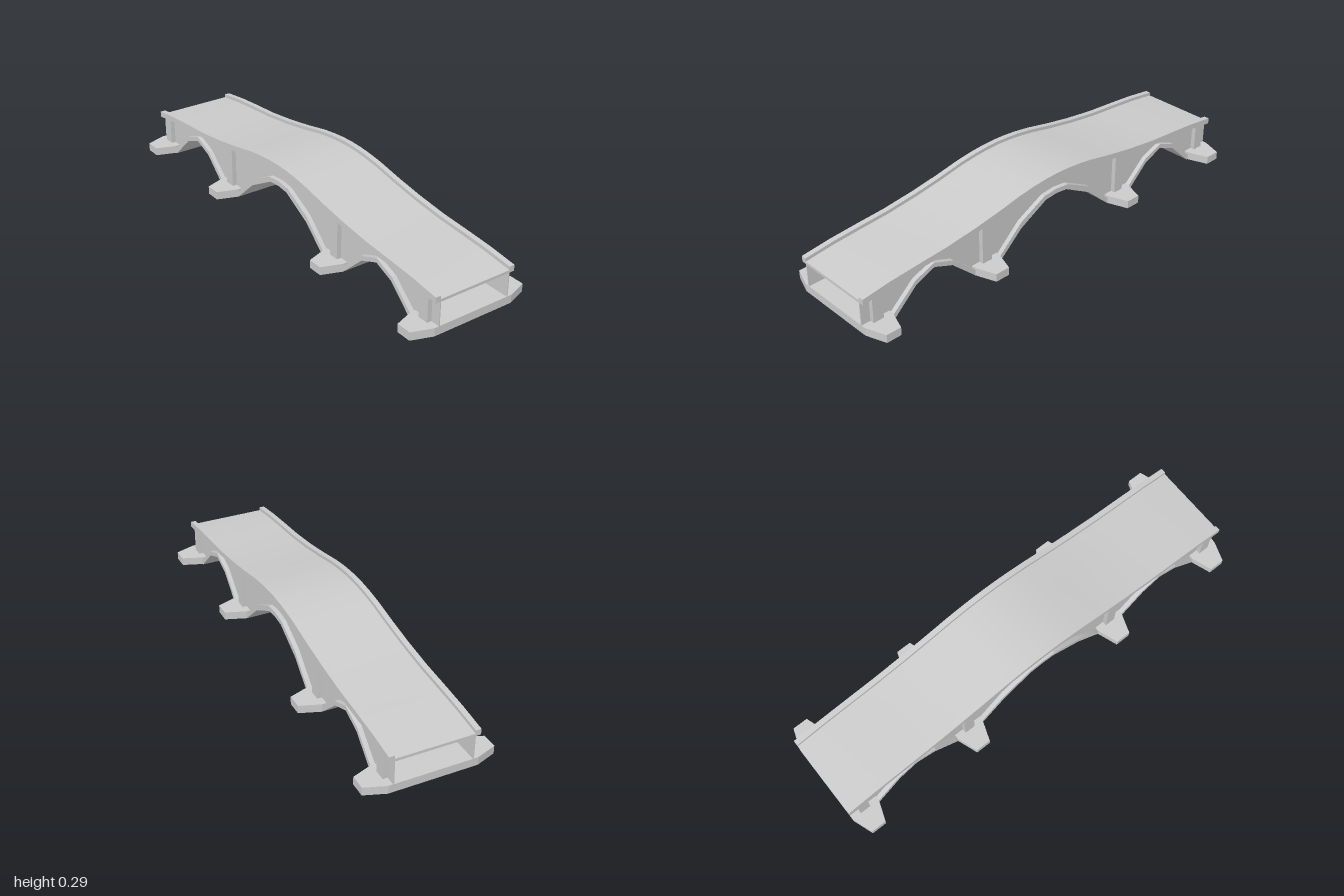
import * as THREE from 'three';
import { toCreasedNormals } from 'three/addons/utils/BufferGeometryUtils.js';

const material = new THREE.MeshStandardMaterial({ color: 0xcccccc, side: THREE.DoubleSide });
const HALF = 0.19; // half width of the bridge
const INNER = 0.17; // inner face of parapets and outer face of the side walls
const FOOT = 0.036; // footing height

// Mirror a half profile of [z, y], listed outwards from z = 0
const mirror = (half) => [...half.slice(1).reverse().map(([z, y]) => [-z, y]), ...half];
const shift = (pts, dz, dy = 0) => pts.map(([z, y]) => [z + dz, y + dy]);

// Parapet top line and arch lines, all running from -z to +z
const topLine = mirror([[0, 0.288], [0.06, 0.286], [0.12, 0.281], [0.2, 0.27], [0.32, 0.246],
  [0.45, 0.224], [0.6, 0.205], [0.75, 0.194], [0.87, 0.184], [1, 0.167]]);
const mainIn = mirror([[0, 0.19], [0.06, 0.184], [0.2, 0.108], [0.32, 0]]);
const mainOut = mirror([[0, 0.212], [0.068, 0.205], [0.2, 0.137], [0.33, 0.016], [0.34, 0]]);
const sideIn = mirror([[0, 0.143], [0.09, 0.107], [0.205, 0]]);
const sideOut = mirror([[0, 0.163], [0.095, 0.126], [0.215, 0.018], [0.225, 0]]);
const SIDE = 0.658; // z of the side arch centres

// Extrude a [z, y] outline across x from x0 to x1
function across(name, pts, x0, x1, crease = 0.45) {
  const shape = new THREE.Shape(pts.map(([z, y]) => new THREE.Vector2(z, y)));
  let geo = new THREE.ExtrudeGeometry(shape, { depth: x1 - x0, bevelEnabled: false });
  geo.rotateY(-Math.PI / 2).translate(x1, 0, 0);
  geo = toCreasedNormals(geo, crease);
  const mesh = new THREE.Mesh(geo, material);
  mesh.name = name;
  return mesh;
}

// Closed band between two lines
const band = (upper, lower) => [...lower, ...[...upper].reverse()];

// Height of the parapet top at z
function topAt(z) {
  const i = Math.max(1, topLine.findIndex(([pz]) => pz >= z));
  const [a, b] = [topLine[i - 1], topLine[i]];
  return a[1] + (b[1] - a[1]) * (z - a[0]) / (b[0] - a[0]);
}

// Long footing with tapered cutwaters at both ends
function footing(z) {
  const plan = [[-0.28, -0.034], [-HALF, -0.066], [HALF, -0.066], [0.28, -0.034],
    [0.28, 0.034], [HALF, 0.066], [-HALF, 0.066], [-0.28, 0.034]];
  const shape = new THREE.Shape(plan.map(([x, y]) => new THREE.Vector2(x, y)));
  const geo = new THREE.ExtrudeGeometry(shape, { depth: FOOT, bevelEnabled: false });
  geo.rotateX(-Math.PI / 2);
  const mesh = new THREE.Mesh(geo, material);
  mesh.name = 'footing';
  mesh.position.z = z;
  return mesh;
}

export function createModel() {
  const bridge = new THREE.Group();
  bridge.name = 'archBridge';

  // Road deck, a thin slab following the hump
  bridge.add(across('deck', band(shift(topLine, 0, -0.015), shift(topLine, 0, -0.027)), -INNER, INNER));

  // Arch barrels
  bridge.add(across('mainArch', band(mainOut, mainIn), -HALF, HALF, 0.3));
  for (const s of [-1, 1]) {
    bridge.add(across('sideArch', band(shift(sideOut, s * SIDE), shift(sideIn, s * SIDE)), -HALF, HALF, 0.3));
  }

  // Underside of the side walls: over the arches and down to the footings
  const wallBase = [[-1, 0.02], ...shift(sideOut.slice(1, -1), -SIDE), ...mainOut.slice(1, -1),
    ...shift(sideOut.slice(1, -1), SIDE), [1, 0.02]];
  const wall = band(shift(topLine, 0, -0.02), wallBase);
  const parapet = band(topLine, shift(topLine, 0, -0.026));

  for (const s of [-1, 1]) {
    const side = new THREE.Group();
    side.name = s > 0 ? 'leftSide' : 'rightSide';
    const span = (a, b) => (s > 0 ? [a, b] : [-b, -a]);
    side.add(across('spandrelWall', wall, ...span(INNER - 0.004, INNER)));
    side.add(across('parapet', parapet, ...span(INNER - 0.002, HALF + 0.002)));
    // Pilasters standing on the footings
    for (const z of [-0.934, -0.387, 0.387, 0.934]) {
      const h = topAt(z) - 0.02 - FOOT / 2;
      const post = new THREE.Mesh(new THREE.BoxGeometry(HALF - INNER + 0.002, h, 0.048), material);
      post.name = 'pilaster';
      post.position.set(s * (HALF + INNER - 0.002) / 2, FOOT / 2 + h / 2, z);
      side.add(post);
    }
    bridge.add(side);
  }

  for (const z of [-0.934, -0.387, 0.387, 0.934]) bridge.add(footing(z));
  return bridge;
}
